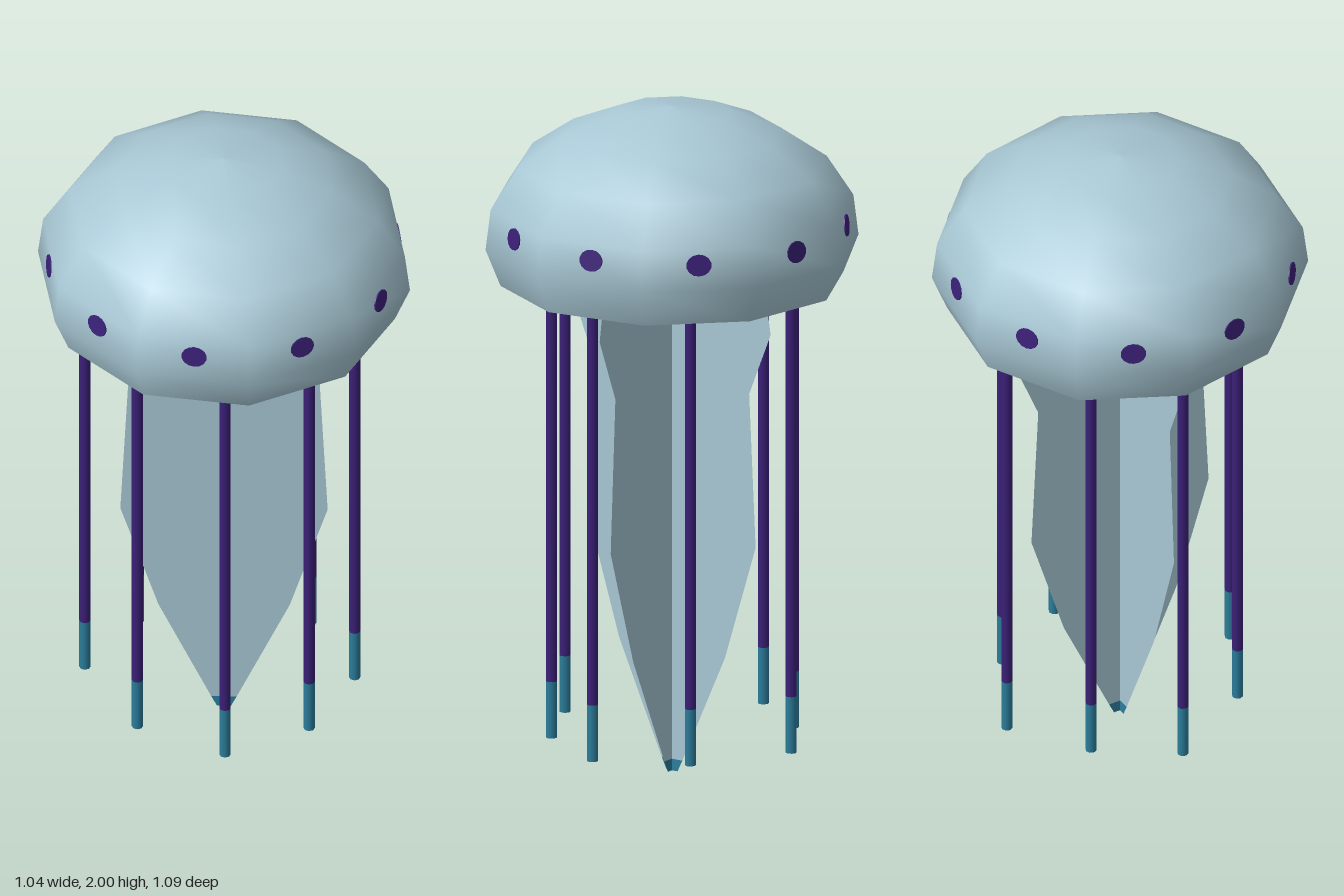
import * as THREE from 'three';

const mat = (name, color, side = THREE.FrontSide) => {
  const m = new THREE.MeshStandardMaterial({ color, side });
  m.name = name;
  return m;
};

export function createModel() {
  const root = new THREE.Group();
  root.name = 'jellyfish';
  const paleBlue = mat('paleBlue', 0xa8c8d5, THREE.DoubleSide);
  const purple = mat('deepPurple', 0x3b2078);
  const teal = mat('teal', 0x2b7d9b, THREE.DoubleSide);

  const add = (name, geometry, material, parent = root) => {
    const mesh = new THREE.Mesh(geometry, material);
    mesh.name = name;
    parent.add(mesh);
    return mesh;
  };
  const points = list => list.map(([x, y]) => new THREE.Vector2(x, y));

  // Bell: open, ten-sided dome
  add('bell', new THREE.LatheGeometry(points([
    [0.502, 1.48], [0.546, 1.59], [0.531, 1.71], [0.453, 1.83],
    [0.32, 1.92], [0.173, 1.98], [0, 2],
  ]), 10), paleBlue);

  // Spots: thin discs through the wall, one in the middle of each face
  for (let i = 0; i < 10; i++) {
    const disc = new THREE.CylinderGeometry(1, 1, 0.008, 14)
      .rotateX(Math.PI / 2)
      .scale(0.037, 0.032, 1)
      .rotateX(-0.11)
      .translate(0, 1.664, 0.51)
      .rotateY((i + 0.5) * Math.PI / 5);
    add('bellSpot', disc, purple);
  }

  // Tentacles: purple rods with teal ends, the upper ones hidden in the bell
  const spots = [
    [0, 0.353], [0, -0.355], [0.35, 0], [-0.35, 0],
    [0.262, 0.273], [-0.262, 0.273], [0.262, -0.308], [-0.262, -0.308],
  ];
  const sections = [
    ['tentacleTip', 0.115, 0.285, teal],
    ['tentacleShaft', 0.285, 1.58, purple],
    ['tentacleRoot', 1.58, 1.75, teal],
  ];
  for (const [x, z] of spots) {
    const tentacle = new THREE.Group();
    tentacle.name = 'tentacle';
    tentacle.position.set(x, 0, z);
    root.add(tentacle);
    for (const [name, y0, y1, material] of sections) {
      const rod = new THREE.CylinderGeometry(0.0165, 0.0165, y1 - y0, 8);
      add(name, rod, material, tentacle).position.y = (y0 + y1) / 2;
    }
  }

  // Oral arms: two crossed flat sheets on the diagonals, with teal tips
  const sheet = half => new THREE.ShapeGeometry(new THREE.Shape(points([
    ...half, ...half.map(([x, y]) => [-x, y]).reverse(),
  ])));
  for (const angle of [Math.PI / 4, -Math.PI / 4]) {
    const arm = new THREE.Group();
    arm.name = 'oralArm';
    arm.rotation.y = angle;
    root.add(arm);
    add('oralArmSheet', sheet([
      [0.037, 0.035], [0.19, 0.37], [0.3, 0.72], [0.277, 1.18],
      [0.354, 1.37], [0.265, 1.925],
    ]), paleBlue, arm);
    add('oralArmTip', sheet([[0.02, 0], [0.037, 0.035]]), teal, arm);
  }

  return root;
}
